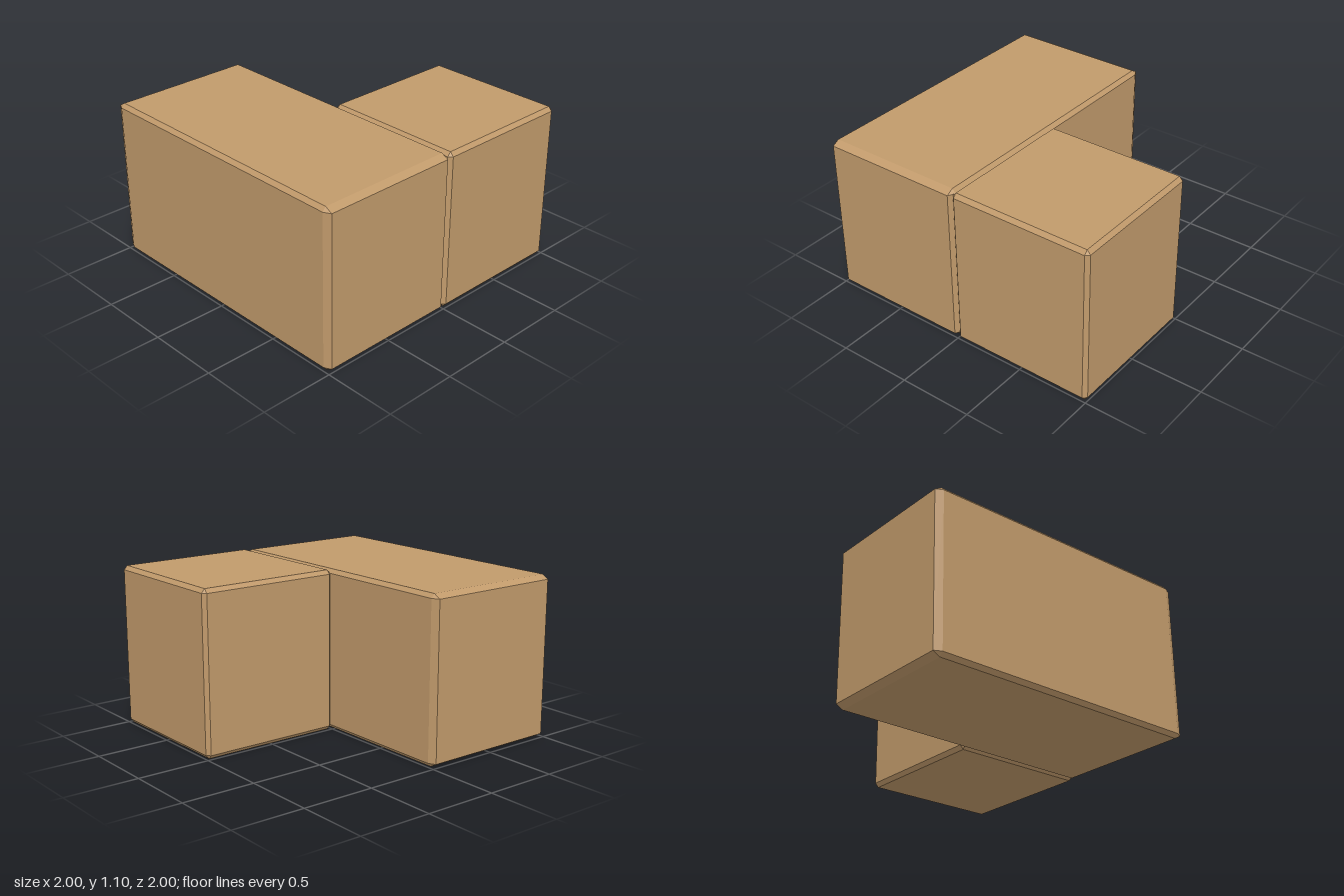
import * as THREE from 'three';
import { ConvexGeometry } from 'three/addons/geometries/ConvexGeometry.js';

// Box with flat chamfers; size and bevel are given per axis
function chamferedBox(size, bevel) {
  const half = size.clone().multiplyScalar(0.5);
  const points = [];
  for (const sx of [-1, 1]) for (const sy of [-1, 1]) for (const sz of [-1, 1]) {
    for (const axis of ['x', 'y', 'z']) {
      // Each corner point stays on one face and is inset along the other two axes
      const p = half.clone().sub(bevel);
      p[axis] = half[axis];
      points.push(p.multiply(new THREE.Vector3(sx, sy, sz)));
    }
  }
  return new ConvexGeometry(points);
}

export function createModel() {
  const group = new THREE.Group();
  group.name = 'cornerBlocks';
  const material = new THREE.MeshStandardMaterial({ color: 0xc19a6b, flatShading: true });

  function addBlock(name, size, bevel, position) {
    const geometry = chamferedBox(new THREE.Vector3(...size), new THREE.Vector3(...bevel));
    const mesh = new THREE.Mesh(geometry, material);
    mesh.name = name;
    mesh.position.set(...position);
    group.add(mesh);
  }

  // Long block, a stretched cube with a deeper bevel at its ends
  addBlock('longBlock', [1, 1.1, 2], [0.024, 0.027, 0.048], [-0.5, 0.55, 0]);
  // Short block beside its front half
  addBlock('shortBlock', [1, 1.1, 1], [0.024, 0.027, 0.024], [0.5, 0.55, 0.5]);

  return group;
}
